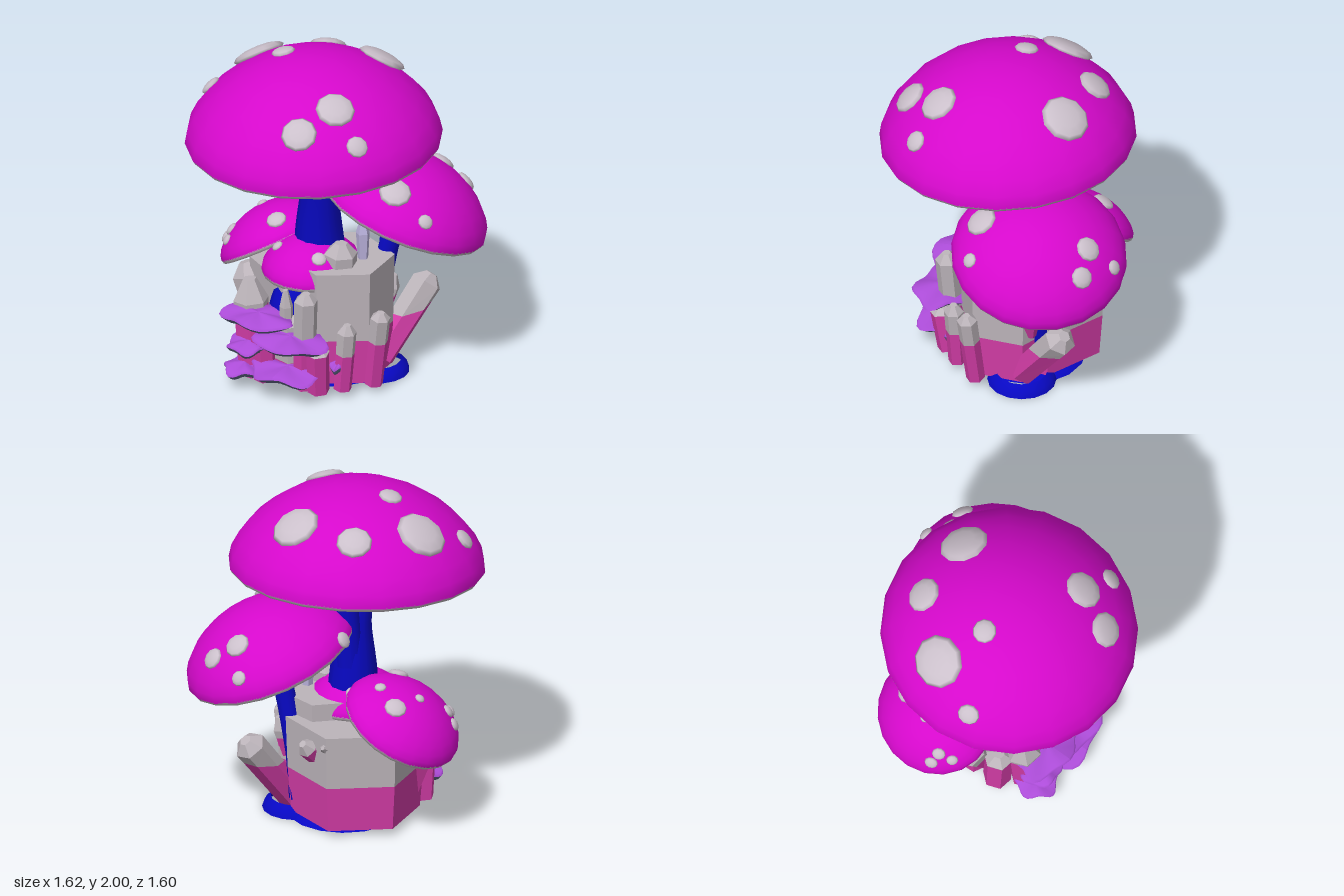
import * as THREE from 'three';

const mat = (name, color, side = THREE.FrontSide) => {
  const m = new THREE.MeshStandardMaterial({ color, side });
  m.name = name;
  return m;
};
const V = (x, y, z) => new THREE.Vector3(x, y, z);
const UP = V(0, 1, 0);
const profile = (points) => points.map((p) => new THREE.Vector2(...p));

export function createModel() {
  const model = new THREE.Group();
  model.name = 'mushroomCluster';
  const magenta = mat('capMagenta', 0xd608cc);
  const grey = mat('paleGrey', 0xcbc0cb);
  const gill = mat('gillGrey', 0xcbc3c8, THREE.DoubleSide);
  const blue = mat('stemBlue', 0x0808c4, THREE.DoubleSide);
  const pink = mat('crystalPink', 0xd23ca6);
  const stone = mat('crystalGrey', 0xbcb4ba);
  const lilac = mat('spikeLilac', 0xb8b0da);
  const purple = mat('shelfPurple', 0xac4cd8, THREE.DoubleSide);
  const slate = mat('shelfSlate', 0x62688a, THREE.DoubleSide);

  const add = (parent, name, geo, material) => {
    const m = new THREE.Mesh(geo, material);
    m.name = name;
    parent.add(m);
    return m;
  };
  const flat = (geo) => {
    const g = geo.toNonIndexed();
    g.computeVertexNormals();
    return g;
  };

  // Mushroom cap: slightly peaked dome, shallow gills, raised spots given as [x, y, z, radius]
  const rise = (c) => 0.68 * c + 0.32 * c * c;
  function cap(name, centre, normal, r, h, spots) {
    const g = new THREE.Group();
    g.name = name;
    g.position.copy(centre);
    g.quaternion.setFromUnitVectors(UP, normal.clone().normalize());
    // outward direction at a point of the unit half-sphere that the dome is shaped from
    const domeNormal = (x, c, z) => {
      const k = h * (0.68 + 0.64 * c);
      return V(x * k, r * c, z * k).normalize();
    };
    const dome = new THREE.SphereGeometry(1, 20, 8, 0, Math.PI * 2, 0, Math.PI / 2);
    const pos = dome.attributes.position, nor = dome.attributes.normal;
    for (let i = 0; i < pos.count; i++) {
      const x = pos.getX(i), c = pos.getY(i), z = pos.getZ(i);
      const n = domeNormal(x, c, z);
      nor.setXYZ(i, n.x, n.y, n.z);
      pos.setXYZ(i, x * r, h * rise(c), z * r);
    }
    add(g, name + 'Dome', dome, magenta);
    const under = [[r, 0.004], [r * 0.985, -0.018], [r * 0.93, -0.014], [r * 0.55, h * 0.06], [0.001, h * 0.12]];
    add(g, name + 'Gills', new THREE.LatheGeometry(profile(under), 20), gill);
    const inv = g.quaternion.clone().invert();
    for (const [x, y, z, s] of spots) {
      const p = V(x, y, z).sub(centre).applyQuaternion(inv);
      const u = V(p.x / r, Math.max(p.y / h, 0.12), p.z / r).normalize();
      const spot = add(g, name + 'Spot', new THREE.SphereGeometry(1, 10, 6), grey);
      spot.scale.set(s, 0.012 + s * 0.2, s);
      spot.position.set(u.x * r, h * rise(u.y), u.z * r);
      spot.quaternion.setFromUnitVectors(UP, domeNormal(u.x, u.y, u.z));
    }
    model.add(g);
  }

  // Stem: tube along a curve whose radius changes from point to point
  function stem(name, points, radii) {
    const N = 20, sides = 12;
    const curve = new THREE.CatmullRomCurve3(points.map((p) => V(...p)));
    const geo = new THREE.TubeGeometry(curve, N, 1, sides);
    const pos = geo.attributes.position, v = V(0, 0, 0);
    for (let i = 0; i <= N; i++) {
      const c = curve.getPointAt(i / N);
      const t = curve.getUtoTmapping(i / N) * (radii.length - 1);
      const k = Math.min(Math.floor(t), radii.length - 2);
      const rad = THREE.MathUtils.lerp(radii[k], radii[k + 1], t - k);
      for (let j = 0; j <= sides; j++) {
        const id = i * (sides + 1) + j;
        v.fromBufferAttribute(pos, id).sub(c).multiplyScalar(rad).add(c);
        pos.setXYZ(id, v.x, v.y, v.z);
      }
    }
    add(model, name, geo, blue);
  }

  // Crystal: pink foot, grey shaft and blunt bevelled point; slant lifts the pink on the underside
  function crystal(name, base, tip, r, split, point = 0.2, turn = 0.3, slant = 0) {
    const a = V(...base), d = V(...tip).sub(a), L = d.length();
    const lean = V(d.x, 0, d.z).normalize();
    const g = new THREE.Group();
    g.name = name;
    g.position.copy(a);
    g.quaternion.setFromUnitVectors(UP, d.normalize());
    const part = (label, y0, y1, r0, r1, m) => {
      const geo = new THREE.CylinderGeometry(r1, r0, y1 - y0, 6);
      geo.rotateY(turn).translate(0, (y0 + y1) / 2, 0);
      const pos = geo.attributes.position;
      for (let i = 0; i < pos.count; i++) {
        const y = pos.getY(i);
        if (Math.abs(y - L * split) < 1e-4) pos.setY(i, y + slant * (pos.getX(i) * lean.x + pos.getZ(i) * lean.z));
      }
      add(g, name + label, flat(geo), m);
    };
    const shoulder = L * (1 - point);
    if (split > 0) part('Foot', 0, L * split, r * 0.92, r * 0.97, pink);
    part('Shaft', L * split, shoulder, r * 0.97, r, stone);
    if (point) part('Point', shoulder, L, r, r * 0.38, stone);
    model.add(g);
  }

  // Caps
  cap('mainCap', V(-0.065, 1.495, 0.06), V(0, 1, 0.058), 0.745, 0.505, [
    [0.13, 1.92, -0.4, 0.145], [-0.28, 1.92, -0.44, 0.105], [-0.54, 1.86, -0.1, 0.155],
    [-0.28, 1.96, 0.04, 0.07], [-0.7, 1.76, 0.2, 0.065], [0.27, 1.89, 0.35, 0.115],
    [0.47, 1.75, 0.42, 0.065], [0.17, 1.81, 0.58, 0.105]]);
  cap('tallSideCap', V(0.32, 1.0, -0.3), V(0.3, 0.92, -0.21), 0.51, 0.32, [
    [0.46, 1.26, -0.01, 0.095], [0.66, 1.13, -0.02, 0.045], [0.18, 1.32, -0.22, 0.075],
    [-0.16, 1.13, -0.3, 0.05], [0.38, 1.2, -0.65, 0.075], [0.53, 1.1, -0.67, 0.065],
    [0.31, 1.06, -0.77, 0.045]]);
  cap('leftCap', V(-0.46, 0.665, -0.175), V(-0.515, 0.857, -0.04), 0.36, 0.21, [
    [-0.5, 0.82, -0.33, 0.065], [-0.35, 0.9, 0.03, 0.06], [-0.38, 0.88, -0.25, 0.035],
    [-0.55, 0.8, -0.18, 0.03], [-0.71, 0.73, 0.0, 0.04], [-0.75, 0.66, -0.03, 0.04],
    [-0.7, 0.7, 0.1, 0.035]]);
  cap('lowCap', V(-0.085, 0.65, 0.035), V(0, 1, 0.04), 0.3, 0.2, [
    [0.04, 0.79, 0.17, 0.045], [-0.24, 0.78, 0.14, 0.035], [-0.14, 0.8, -0.16, 0.04]]);

  // Stems
  stem('mainStem', [[-0.06, 0.3, -0.03], [-0.08, 0.85, -0.02], [-0.07, 1.15, 0], [-0.07, 1.53, 0.06]],
    [0.18, 0.14, 0.105, 0.11]);
  stem('mainStemLobe', [[-0.08, 0.85, -0.06], [-0.07, 1.25, -0.08], [-0.07, 1.53, -0.1]], [0.09, 0.07, 0.08]);
  stem('tallSideStem', [[0.14, 0.12, -0.24], [0.18, 0.4, -0.25], [0.25, 0.78, -0.26], [0.32, 1.03, -0.29]],
    [0.08, 0.06, 0.058, 0.13]);
  stem('leftStem', [[-0.25, 0.4, -0.1], [-0.38, 0.58, -0.12], [-0.48, 0.69, -0.16]], [0.1, 0.075, 0.09]);
  stem('lowStem', [[-0.12, 0.05, 0.2], [-0.12, 0.45, 0.21], [-0.11, 0.66, 0.12]], [0.1, 0.13, 0.1]);

  // Open root collars under the stems
  for (const [x, z, r, h] of [[-0.05, -0.08, 0.33, 0.04], [-0.05, -0.08, 0.22, 0.04], [0.22, -0.15, 0.2, 0.07]]) {
    const lip = profile([[r, 0], [r * 0.93, h * 0.6], [r * 0.75, h]]);
    add(model, 'rootCollar', new THREE.LatheGeometry(lip, 16), blue).position.set(x, 0, z);
  }

  // Two big hexagonal blocks
  crystal('tallBlock', [0.07, 0.04, -0.02], [0.07, 0.74, -0.02], 0.31, 0.39, 0, 0.1);
  crystal('wideBlock', [-0.135, 0.042, -0.11], [-0.135, 0.635, -0.11], 0.405, 0.46, 0, 0);

  // Crystals: base, tip, radius, share that is pink, share that is point, turn, slant
  const crystals = [
    [[-0.36, 0.12, 0.06], [-0.53, 0.58, 0.07], 0.1, 0.55, 0.15],
    [[-0.29, 0.04, 0.33], [-0.33, 0.63, 0.33], 0.105, 0.72, 0.22],
    [[-0.4, 0.04, 0.2], [-0.41, 0.47, 0.22], 0.09, 0.85, 0.12],
    [[-0.2, 0.04, 0.36], [-0.2, 0.42, 0.4], 0.075, 0.88, 0.1],
    [[-0.06, 0.04, 0.28], [-0.06, 0.46, 0.3], 0.11, 0.35, 0.1],
    [[-0.07, 0.44, 0.34], [-0.07, 0.63, 0.35], 0.04, 0, 0.55],
    [[0.05, 0.04, 0.34], [0.09, 0.66, 0.38], 0.07, 0.4, 0.08],
    [[0.15, 0.04, 0.34], [0.17, 0.33, 0.38], 0.07, 0.9, 0.1],
    [[0.25, 0.04, 0.24], [0.29, 0.46, 0.25], 0.058, 0.55, 0.12],
    [[0.36, 0.04, 0.08], [0.43, 0.52, 0.11], 0.06, 0.6, 0.08],
    [[0.24, 0.08, -0.17], [0.39, 0.52, -0.49], 0.095, 0.6, 0.1, 0.3, 1.1],
    [[0.23, 0.36, -0.2], [0.29, 0.59, -0.24], 0.06, 0.5, 0.3],
    [[-0.02, 0.44, -0.37], [0.02, 0.57, -0.5], 0.06, 0.7, 0.3],
    [[-0.12, 0.54, -0.44], [-0.12, 0.58, -0.53], 0.03, 0.6, 0.4],
    [[0.12, 0.68, 0.07], [0.13, 0.87, 0.07], 0.1, 0, 0.35],
  ];
  for (const c of crystals) crystal('crystal', ...c);
  const spike = new THREE.LatheGeometry(profile([[0.03, 0.7], [0.042, 0.9], [0.001, 1.04]]), 5);
  add(model, 'lilacSpike', flat(spike), lilac).position.set(0.195, 0, -0.06);

  // Shelf fungus: scalloped, wavy disc with a purple top and slate underside
  function shelf(x, y, z, rx, rz, phase) {
    const g = new THREE.Group();
    g.name = 'shelfFungus';
    g.position.set(x, y, z);
    g.rotation.x = 0.03;
    const skin = (label, points, m) => {
      const geo = new THREE.LatheGeometry(profile(points), 32);
      const pos = geo.attributes.position;
      for (let i = 0; i < pos.count; i++) {
        const px = pos.getX(i), pz = pos.getZ(i), a = Math.atan2(pz, px), q = Math.hypot(px, pz);
        const s = 1 + 0.09 * q * Math.sin(5 * a + phase);
        pos.setXYZ(i, px * s * rx, pos.getY(i) + 0.014 * q * Math.sin(4 * a + phase * 2), pz * s * rz);
      }
      geo.computeVertexNormals();
      add(g, label, geo, m);
    };
    skin('shelfTop', [[1, -0.004], [0.95, 0.012], [0.5, 0.026], [0.001, 0.032]], purple);
    skin('shelfUnderside', [[0.001, -0.04], [0.5, -0.036], [0.85, -0.028], [1, -0.004]], slate);
    model.add(g);
  }
  shelf(-0.21, 0.45, 0.42, 0.23, 0.15, 0.4);
  shelf(0.01, 0.355, 0.42, 0.23, 0.17, 1.9);
  shelf(-0.28, 0.255, 0.42, 0.125, 0.12, 3.1);
  shelf(-0.02, 0.15, 0.4, 0.23, 0.18, 4.2);
  shelf(-0.31, 0.105, 0.41, 0.12, 0.13, 5.3);
  shelf(0.24, 0.19, 0.25, 0.05, 0.07, 2.2);

  return model;
}
